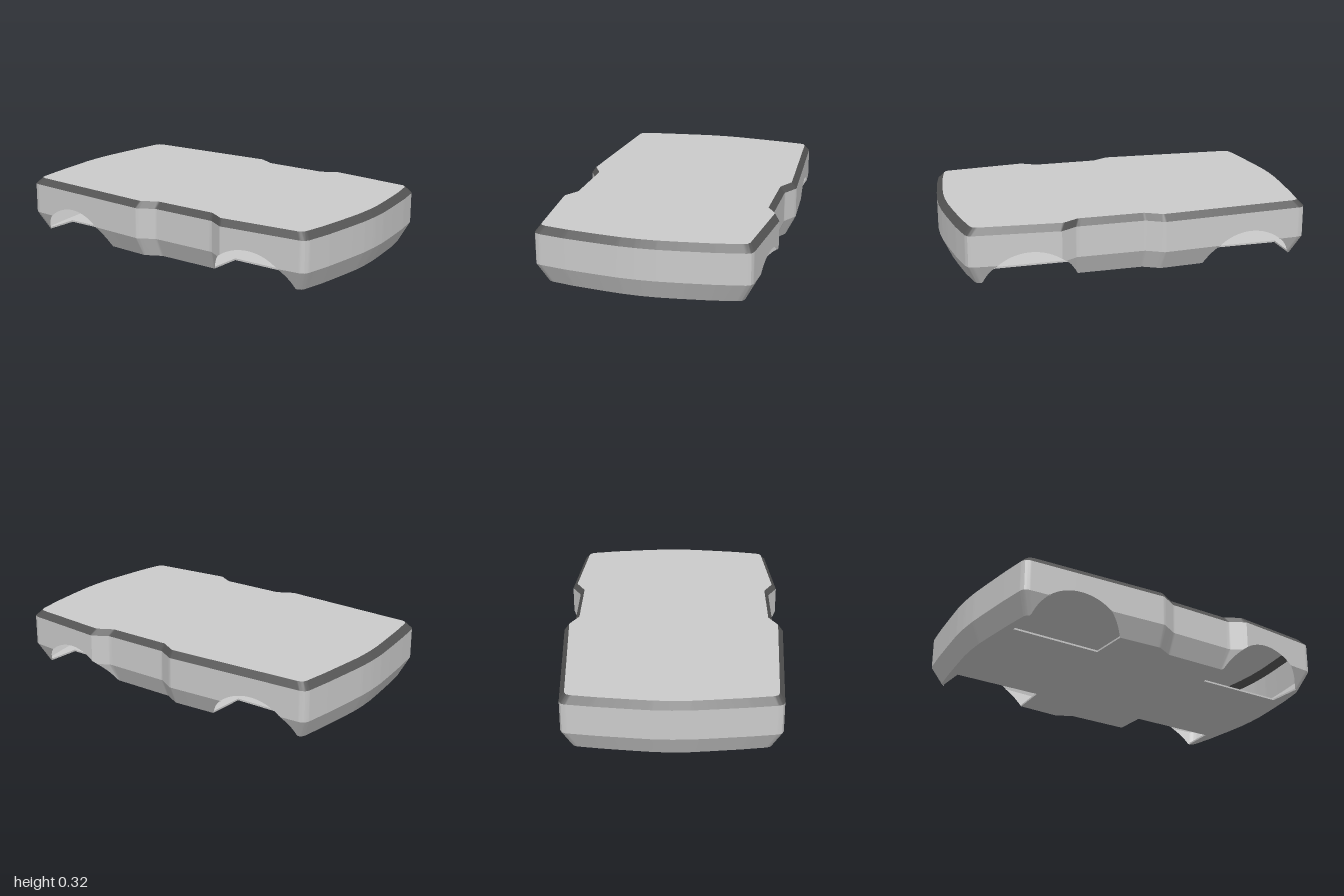
import * as THREE from 'three';
import { toCreasedNormals } from 'three/addons/utils/BufferGeometryUtils.js';

// Heights of the sill bend, the shoulder and the roof
const SILL = 0.11, SHOULDER = 0.28, ROOF = 0.316;
const ARCHES = [-0.62, 0.597], ARCH_R = 0.28, ARCH_Y = -0.105, WELL_Z = 0.335;

// Half of the plan outline [x, z], from the left end of the plan to the right end
const HALF = [
  [-1, 0], [-0.997, 0.1], [-0.985, 0.22], [-0.965, 0.4], [-0.945, 0.54], [-0.935, 0.56], [-0.912, 0.57],
  [-0.12, 0.617], [-0.025, 0.565], [0.35, 0.565], [0.44, 0.617],
  [0.905, 0.575], [0.925, 0.565], [0.936, 0.543], [0.963, 0.4], [0.985, 0.22], [0.997, 0.1], [1, 0],
];

// Full mirrored outline, divided finely enough for clean arches
function planOutline() {
  const loop = [...HALF, ...HALF.slice(1, -1).reverse().map(([x, z]) => [x, -z])];
  const points = [];
  loop.forEach(([x, z], i) => {
    const [nx, nz] = loop[(i + 1) % loop.length];
    const n = Math.max(1, Math.ceil(Math.hypot(nx - x, nz - z) / 0.01));
    for (let k = 0; k < n; k++) points.push([x + (nx - x) * k / n, z + (nz - z) * k / n]);
  });
  return points;
}

// Height of the wheel arch opening at x (0 outside the arches)
function archHeight(x) {
  let h = 0;
  for (const cx of ARCHES) {
    const d = ARCH_R ** 2 - (x - cx) ** 2;
    if (d > 0) h = Math.max(h, ARCH_Y + Math.sqrt(d));
  }
  return h;
}

// Point of the body surface above plan point p at height y
function bodyPoint([x, z], y) {
  let sx = 1, sz = 1;
  if (y < SILL) {
    const t = 1 - y / SILL;
    sx -= 0.052 * t;
    sz -= 0.09 * t;
  } else if (y > SHOULDER) {
    const t = (y - SHOULDER) / (ROOF - SHOULDER);
    sx -= 0.034 * t;
    sz -= 0.045 * t;
  }
  return [x * sx, y, z * sz];
}

// Lower edge of the wall at plan point p
function lowerEdge(p) {
  if (Math.abs(p[1]) < 0.5) return 0;
  let y = 0;
  for (let i = 0; i < 6; i++) y = archHeight(bodyPoint(p, y)[0]);
  return y;
}

// Closed band of quads around the outline between two height rules
function band(outline, low, high) {
  const pos = [];
  outline.forEach((p, i) => {
    const q = outline[(i + 1) % outline.length];
    const a = bodyPoint(p, low(p)), b = bodyPoint(q, low(q));
    const c = bodyPoint(q, high(q)), d = bodyPoint(p, high(p));
    if (c[1] - b[1] > 1e-6) pos.push(...a, ...b, ...c);
    if (d[1] - a[1] > 1e-6) pos.push(...a, ...c, ...d);
  });
  const g = new THREE.BufferGeometry();
  g.setAttribute('position', new THREE.Float32BufferAttribute(pos, 3));
  return toCreasedNormals(g, 0.6);
}

const planShape = (pts) => new THREE.Shape(pts.map(([x, , z]) => new THREE.Vector2(x, -z)));

export function createModel() {
  const group = new THREE.Group();
  const grey = new THREE.MeshStandardMaterial({ color: 0xcccccc, side: THREE.DoubleSide });
  const dark = new THREE.MeshStandardMaterial({ color: 0x555555, side: THREE.DoubleSide });
  const add = (name, geometry, material) => {
    const mesh = new THREE.Mesh(geometry, material);
    mesh.name = name;
    group.add(mesh);
  };
  const outline = planOutline();

  // Side walls with the arches cut out: tapered sill, then upright panel
  add('lowerSill', band(outline, (p) => Math.min(lowerEdge(p), SILL), () => SILL), grey);
  add('sideWall', band(outline, (p) => Math.max(lowerEdge(p), SILL), () => SHOULDER), grey);

  // Dark bevel and flat roof
  add('roofBevel', band(outline, () => SHOULDER, () => ROOF), dark);
  const roof = new THREE.ShapeGeometry(planShape(outline.map((p) => bodyPoint(p, ROOF))));
  add('roof', roof.rotateX(-Math.PI / 2).translate(0, ROOF, 0), grey);

  // Thin floor, notched inward at each wheel well
  const floorPoints = outline.map((p) => {
    const [x, y, z] = bodyPoint(p, 0);
    return [x, y, lowerEdge(p) > 0 ? Math.sign(z) * WELL_Z : z];
  });
  const floor = new THREE.ExtrudeGeometry(planShape(floorPoints), { depth: 0.01, bevelEnabled: false });
  add('floor', floor.rotateX(-Math.PI / 2), grey);

  return group;
}
